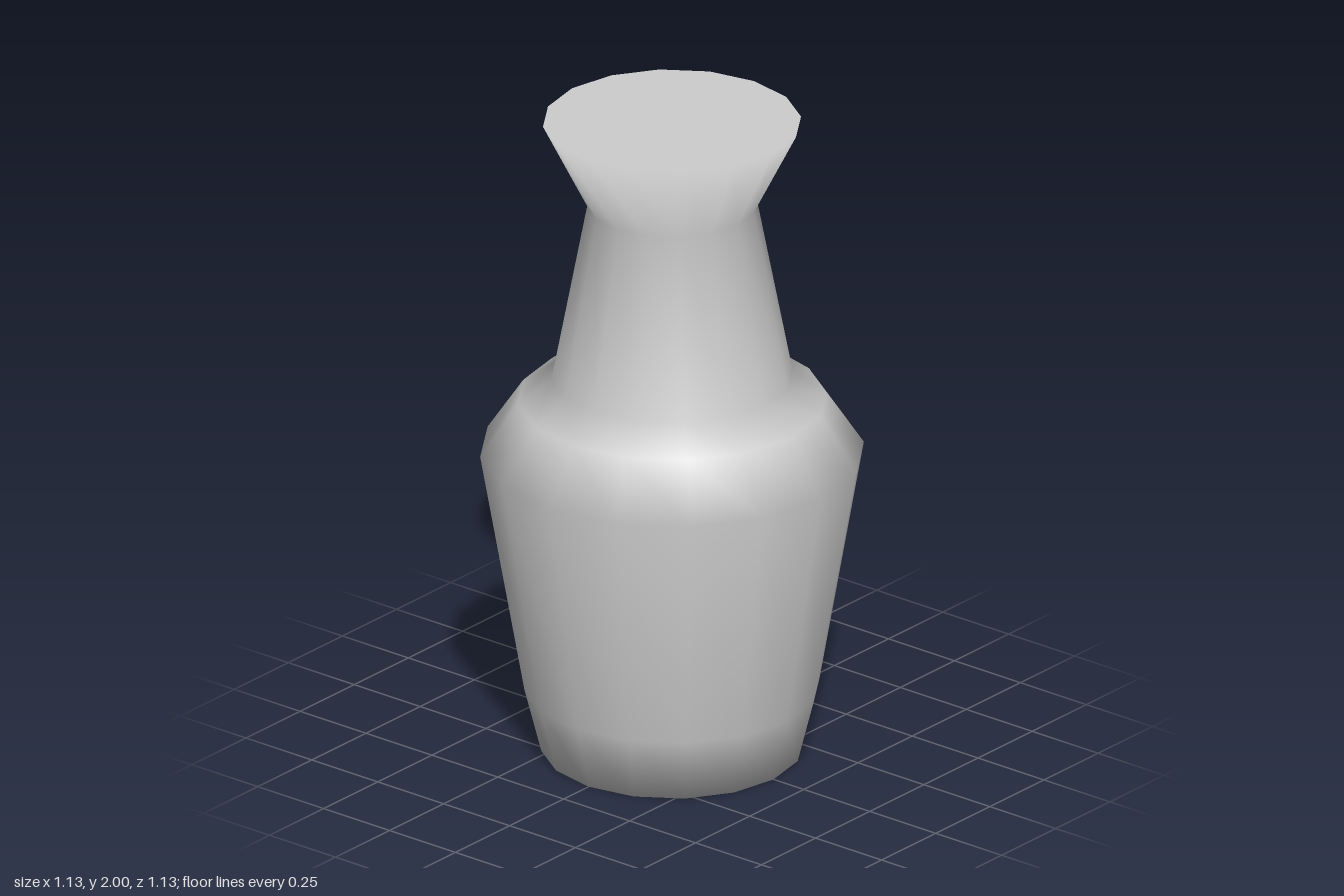
import * as THREE from 'three';

const HEIGHT = 2;

export function createModel() {
  const model = new THREE.Group();
  model.name = 'vase';

  // Radius and height, from the base centre up to the closed mouth
  const profile = [
    [0, 0], [0.385, 0],       // base
    [0.435, 0.2],             // foot curve
    [0.565, 0.95],            // widest point
    [0.455, 1.115],           // shoulder
    [0.355, 1.19],            // neck foot
    [0.25, 1.74],             // neck top
    [0.38, HEIGHT], [0, HEIGHT], // flared rim and flat lid
  ].map(([r, y]) => new THREE.Vector2(r, y));

  const geometry = new THREE.LatheGeometry(profile, 16);

  // Lid and base are shaded flat, and the walls blend softly into them
  const { position, normal } = geometry.attributes;
  for (let i = 0; i < position.count; i++) {
    const y = position.getY(i);
    if (y === 0) normal.setXYZ(i, 0, -1, 0);
    if (y === HEIGHT) normal.setXYZ(i, 0, 1, 0);
  }

  const body = new THREE.Mesh(geometry, new THREE.MeshStandardMaterial({ color: 0xcccccc }));
  body.name = 'vaseBody';
  model.add(body);
  return model;
}
